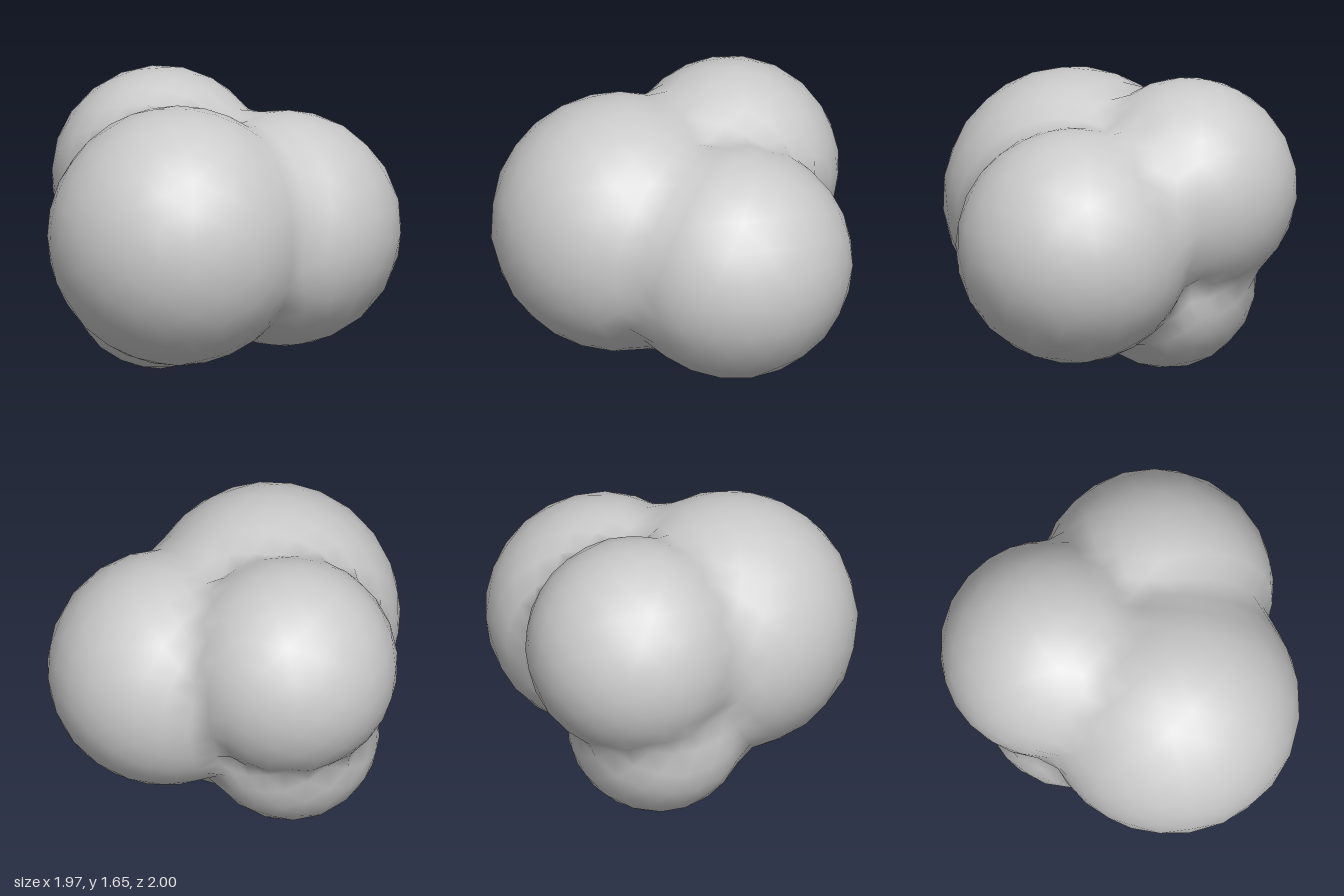
import * as THREE from 'three';
import { mergeVertices } from 'three/addons/utils/BufferGeometryUtils.js';

// Four overlapping lobes: centre and radius
const LOBES = [
  { centre: new THREE.Vector3(-0.17, 0.895, 0.285), radius: 0.717 }, // front
  { centre: new THREE.Vector3(0.33, 0.825, -0.235), radius: 0.652 }, // left
  { centre: new THREE.Vector3(-0.39, 1.05, -0.4), radius: 0.603 },   // upper back
  { centre: new THREE.Vector3(-0.37, 0.495, -0.25), radius: 0.498 }, // bottom
];

// A point inside every lobe, so each ray from it leaves the cluster once
const CORE = new THREE.Vector3(-0.13, 0.82, -0.16);

// Distance from the core to the far side of a lobe along a direction
function exitDistance(direction, { centre, radius }) {
  const offset = centre.clone().sub(CORE);
  const along = offset.dot(direction);
  return along + Math.sqrt(along * along - offset.lengthSq() + radius * radius);
}

// One continuous skin around all lobes, with soft shading in the valleys
function clusterGeometry() {
  let geometry = new THREE.IcosahedronGeometry(1, 6);
  geometry.deleteAttribute('uv');
  geometry.deleteAttribute('normal');
  geometry = mergeVertices(geometry, 1e-4);

  const position = geometry.attributes.position;
  const direction = new THREE.Vector3();
  for (let i = 0; i < position.count; i++) {
    direction.fromBufferAttribute(position, i).normalize();
    const reach = Math.max(...LOBES.map((lobe) => exitDistance(direction, lobe)));
    direction.multiplyScalar(reach).add(CORE);
    position.setXYZ(i, direction.x, direction.y, direction.z);
  }
  geometry.computeVertexNormals();
  return geometry;
}

export function createModel() {
  const group = new THREE.Group();
  group.name = 'lobedCluster';
  const skin = new THREE.Mesh(
    clusterGeometry(),
    new THREE.MeshStandardMaterial({ color: 0xcccccc })
  );
  skin.name = 'clusterSkin';
  group.add(skin);
  return group;
}
